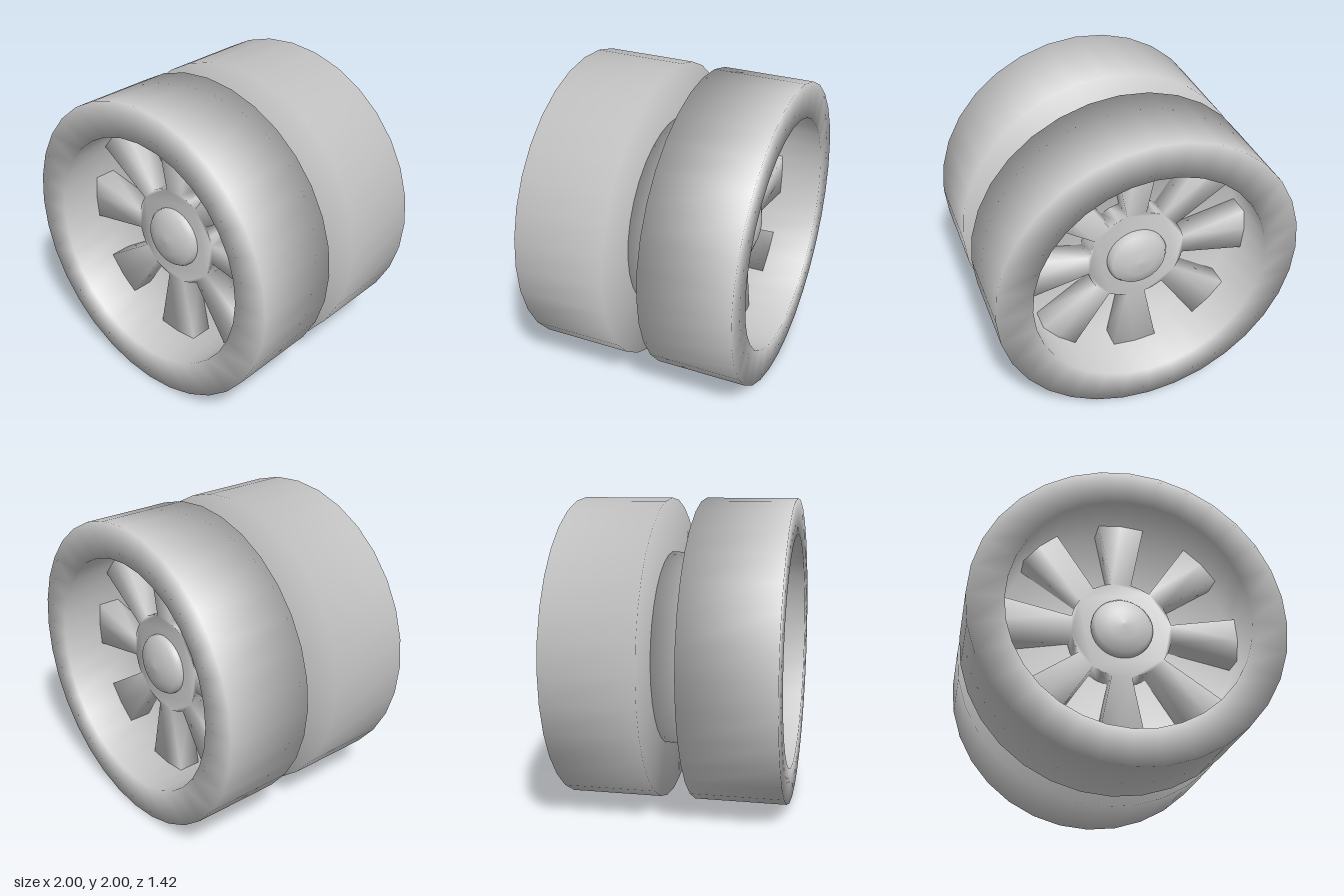
import * as THREE from 'three';
import { mergeVertices } from 'three/addons/utils/BufferGeometryUtils.js';

const SIDES = 32;
const RIM = 0.77;      // inner radius of the tyre ring
const FLOOR = 0.28;    // depth of the pockets between spokes
const PLATE = 0.43;    // front of the spokes
const material = new THREE.MeshStandardMaterial({ color: 0xcccccc });

function part(name, geometry) {
  const mesh = new THREE.Mesh(geometry, material);
  mesh.name = name;
  return mesh;
}

// Revolves [radius, z] points around the z axis
function turned(points) {
  const profile = points.map(([r, z]) => new THREE.Vector2(r, z));
  return new THREE.LatheGeometry(profile, SIDES).rotateX(Math.PI / 2);
}

// Hub disc with eight tapering spokes, softly shaded
function spokePlate() {
  const step = Math.PI / 16;
  const inner = 0.33;
  const corners = [];
  const add = (r, a) => corners.push(new THREE.Vector2(r * Math.cos(a), r * Math.sin(a)));
  for (let i = 0; i < 8; i++) {
    const a = i * Math.PI / 4;
    add(inner, a - step);
    add(RIM, a - step);
    add(RIM, a);
    add(RIM, a + step);
    add(inner, a + step);
    add(inner, a + 2 * step);
  }
  let geometry = new THREE.ExtrudeGeometry(new THREE.Shape(corners), {
    depth: PLATE - FLOOR, bevelEnabled: false,
  });
  geometry.translate(0, 0, FLOOR);
  geometry.deleteAttribute('normal');
  geometry.deleteAttribute('uv');
  geometry = mergeVertices(geometry);
  geometry.computeVertexNormals();
  return geometry;
}

function wheel(name) {
  const group = new THREE.Group();
  group.name = name;
  // Tyre with a recessed front and a closed inner side
  group.add(part('tyre', turned([
    [0, 0.115], [1, 0.115], [1, 0.71], [RIM, 0.71], [RIM, FLOOR], [0, FLOOR],
  ])));
  group.add(part('spokes', spokePlate()));
  // Domed cap in the middle
  group.add(part('hubCap', turned([
    [0.2, 0.41], [0.2, 0.45], [0.18, 0.48], [0.1, 0.51], [0, 0.52],
  ])));
  return group;
}

export function createModel() {
  const model = new THREE.Group();
  model.name = 'wheelPair';

  const front = wheel('frontWheel');
  const back = wheel('backWheel');
  back.rotation.y = Math.PI;

  // Thick axle drum joining the wheels
  const axle = part('axle', turned([[0, -0.12], [0.645, -0.12], [0.645, 0.12], [0, 0.12]]));

  model.add(front, back, axle);
  model.children.forEach((child) => { child.position.y = 1; });
  return model;
}
